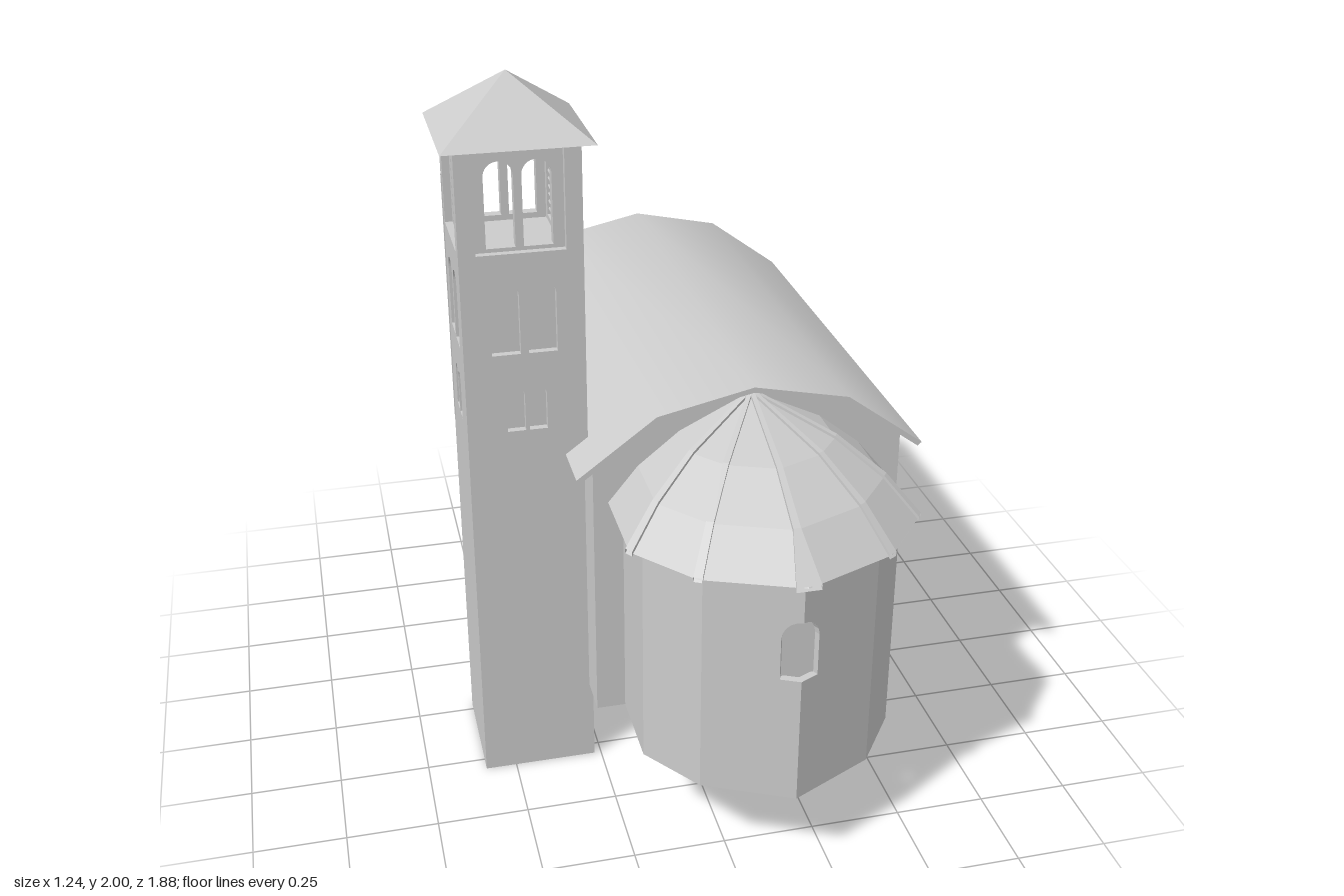
import * as THREE from 'three';
import { toCreasedNormals } from 'three/addons/utils/BufferGeometryUtils.js';

const grey = new THREE.MeshStandardMaterial({ color: 0xcccccc });
const thinGrey = new THREE.MeshStandardMaterial({ color: 0xcccccc, flatShading: true, side: THREE.DoubleSide });

function add(parent, name, geometry, x = 0, y = 0, z = 0, material = grey) {
  const mesh = new THREE.Mesh(geometry, material);
  mesh.name = name;
  mesh.position.set(x, y, z);
  parent.add(mesh);
  return mesh;
}

const extrude = (shape, depth) =>
  new THREE.ExtrudeGeometry(shape, { depth, bevelEnabled: false, curveSegments: 8 });

const polygon = (points) => new THREE.Shape(points.map(([x, y]) => new THREE.Vector2(x, y)));

const rectangle = (x0, x1, y0, y1) => polygon([[x0, y0], [x1, y0], [x1, y1], [x0, y1]]);

// Round-headed opening centred on x
function arch(x, width, y0, y1) {
  const r = width / 2;
  const shape = new THREE.Shape();
  shape.moveTo(x - r, y0);
  shape.lineTo(x + r, y0);
  shape.lineTo(x + r, y1 - r);
  shape.absarc(x, y1 - r, r, 0, Math.PI, false);
  shape.lineTo(x - r, y0);
  return shape;
}

// Surface through rows of [x, y, z] points
function surface(rows) {
  const n = rows[0].length;
  const index = [];
  for (let i = 0; i < rows.length - 1; i++) {
    for (let j = 0; j < n - 1; j++) {
      const a = i * n + j, b = a + n;
      index.push(a, a + 1, b, a + 1, b + 1, b);
    }
  }
  const geometry = new THREE.BufferGeometry();
  geometry.setAttribute('position', new THREE.Float32BufferAttribute(rows.flat(2), 3));
  geometry.setIndex(index);
  geometry.computeVertexNormals();
  return geometry;
}

// Hollow square bell tower with paired arched windows on each side
function buildTower() {
  const tower = new THREE.Group();
  tower.name = 'bellTower';
  tower.position.set(-0.428, 0, 0.135);
  add(tower, 'belfryFloor', new THREE.BoxGeometry(0.225, 0.02, 0.225), 0, 1.56, 0);

  for (let k = 0; k < 4; k++) {
    const side = new THREE.Group();
    side.name = 'towerSide';
    side.rotation.y = k * Math.PI / 2;
    tower.add(side);
    const flank = k % 2 === 1;

    const outerHalf = flank ? 0.139 : 0.159;
    const outer = rectangle(-outerHalf, outerHalf, 0, 1.85);
    outer.holes.push(rectangle(-0.115, 0.115, 1.575, 1.845));
    const innerHalf = flank ? 0.11 : 0.139;
    const inner = rectangle(-innerHalf, innerHalf, 1, 1.85);
    for (const s of [-1, 1]) {
      outer.holes.push(arch(s * 0.048, 0.075, 1.3, 1.5));
      outer.holes.push(arch(s * 0.029, 0.048, 1.08, 1.205));
      inner.holes.push(arch(s * 0.048, 0.075, 1.585, 1.81));
    }
    add(side, 'towerWall', extrude(outer, 0.02), 0, 0, 0.139);
    add(side, 'towerInnerWall', extrude(inner, 0.03), 0, 0, 0.109);

    // Louvres fill the belfry openings on the two flanks
    if (flank) {
      for (const s of [-1, 1]) {
        for (let i = 0; i < 10; i++) {
          const slat = add(side, 'louvre', new THREE.BoxGeometry(0.075, 0.005, 0.026), s * 0.048, 1.597 + i * 0.021, 0.125);
          slat.rotation.x = 0.5;
        }
      }
    }
  }

  const roof = add(tower, 'towerRoof', new THREE.ConeGeometry(0.193 * Math.SQRT2, 0.15, 4), 0, 1.925, 0, thinGrey);
  roof.rotation.y = Math.PI / 4;
  add(tower, 'cable', new THREE.BoxGeometry(0.004, 0.37, 0.008), 0.159, 1.465, -0.118);
  add(tower, 'cable', new THREE.BoxGeometry(0.004, 0.7, 0.008), -0.159, 1.35, -0.14);
  return tower;
}

// Hollow hall, open below, with a four-sided vault roof; x is measured from its axis
function buildNave() {
  const nave = new THREE.Group();
  nave.name = 'nave';
  const arc = (r) => Array.from({ length: 5 }, (_, i) => {
    const a = 0.85 * (1 - i / 2);
    return [r * Math.sin(a), 0.578 + r * Math.cos(a)];
  });
  const gable = () => polygon([[-0.425, 0.245], [0.425, 0.245], [0.425, 1.013],
    ...arc(0.617).slice(1, -1), [-0.425, 1.013]]);

  for (const x of [-0.425, 0.425]) {
    add(nave, 'naveSideWall', surface([0.245, 1.013].map((y) => [[x, y, -0.87], [x, y, 0.41]])), 0, 0, 0, thinGrey);
  }
  add(nave, 'naveFrontWall', new THREE.ShapeGeometry(gable()), 0, 0, 0.41, thinGrey);

  // Back wall with two recessed windows
  const back = gable();
  back.holes.push(arch(0, 0.145, 0.43, 0.72), arch(0, 0.105, 0.835, 1.02));
  add(nave, 'naveBackWall', extrude(back, 0.03), 0, 0, -0.9);
  add(nave, 'backWindowPane', new THREE.ShapeGeometry(gable()), 0, 0, -0.87, thinGrey);

  const vault = extrude(polygon([...arc(0.632), ...arc(0.617).reverse()]), 1.39);
  add(nave, 'naveRoof', toCreasedNormals(vault, 0.5), 0, 0, -0.945);
  return nave;
}

// Polygonal apse, open below, with a ribbed half dome
function buildApse() {
  const apse = new THREE.Group();
  apse.name = 'apse';
  const backZ = 0.41;
  const outline = (half, front) => [...half.map(([x, z]) => [-x, z]), [0, front], ...half.reverse()];
  const wall = outline([[0.345, backZ], [0.345, 0.64], [0.23, 0.8]], 0.91);
  const eave = outline([[0.385, backZ], [0.385, 0.67], [0.25, 0.835]], 0.935);

  // Facets; the two front ones share the arched window at their joint
  for (let i = 0; i < wall.length - 1; i++) {
    const a = new THREE.Vector3(wall[i][0], 0, wall[i][1]);
    const b = new THREE.Vector3(wall[i + 1][0], 0, wall[i + 1][1]);
    const length = a.distanceTo(b);
    const along = b.clone().sub(a).normalize();
    const up = new THREE.Vector3(0, 1, 0);
    let points = [[0, 0.245], [length, 0.245], [length, 0.9], [0, 0.9]];
    const windowed = i === 2 || i === 3;
    if (windowed) {
      for (let k = 0; k <= 5; k++) {
        const t = k / 5 * Math.PI / 2;
        points.push([0.055 * Math.sin(t), 0.73 + 0.055 * Math.cos(t)]);
      }
      points.push([0.055, 0.61], [0, 0.61]);
      if (i === 2) points = points.map(([x, y]) => [length - x, y]);
    }
    const shape = polygon(points);
    const geometry = windowed ? extrude(shape, 0.02).translate(0, 0, -0.02) : new THREE.ShapeGeometry(shape);
    const facet = add(apse, 'apseWall', geometry, a.x, 0, a.z, thinGrey);
    facet.quaternion.setFromRotationMatrix(new THREE.Matrix4().makeBasis(along, up, along.clone().cross(up)));
  }
  add(apse, 'apseWindowPane', extrude(arch(0, 0.116, 0.6, 0.79), 0.012), 0, 0, 0.86);

  // Half dome: soffit, eave and two rings up to the crown
  const stations = [[1, 0.9], [0.79, 1.0], [0.5, 1.09], [0.02, 1.18]];
  const ring = (pts, s, y) => pts.map(([x, z]) => [x * s, y, backZ + (z - backZ) * s]);
  add(apse, 'apseRoof', surface([ring(wall, 1, 0.9), ...stations.map(([s, y]) => ring(eave, s, y))]),
    0, 0, 0, thinGrey);

  // Ribs along the dome edges, the front one flaring at its foot
  for (let i = 1; i <= 5; i++) {
    const dx = eave[i][0], dz = eave[i][1] - backZ;
    const l = Math.hypot(dx, dz);
    const px = dz / l, pz = -dx / l;
    const rows = stations.map(([s, y], k) => {
      const w = k === 0 && i === 3 ? 0.033 : 0.012 - 0.002 * k;
      const x = dx * s * 1.005, z = backZ + dz * s * 1.005;
      return [[-1, -0.006], [-1, 0.007], [1, 0.007], [1, -0.006], [-1, -0.006]]
        .map(([side, h]) => [x + side * w * px, y + h, z + side * w * pz]);
    });
    add(apse, 'roofRib', surface(rows), 0, 0, 0, thinGrey);
  }
  return apse;
}

export function createModel() {
  const church = new THREE.Group();
  church.name = 'church';
  const hall = new THREE.Group();
  hall.name = 'hall';
  hall.position.x = 0.145;
  hall.add(buildNave(), buildApse());
  church.add(buildTower(), hall);
  return church;
}
